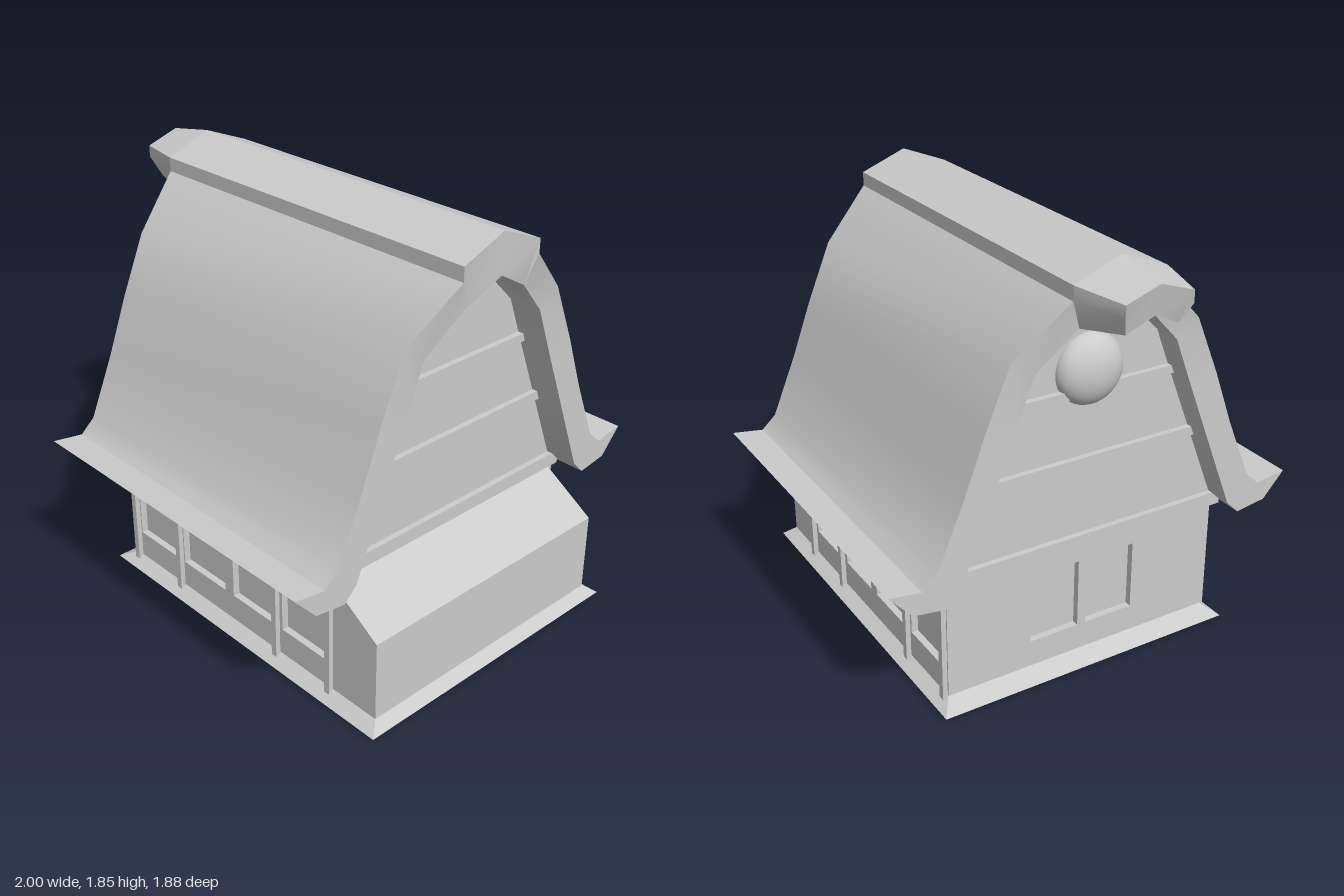
import * as THREE from 'three';
import { toCreasedNormals } from 'three/addons/utils/BufferGeometryUtils.js';

const solid = new THREE.MeshStandardMaterial({ color: 0xcccccc });
const thin = new THREE.MeshStandardMaterial({ color: 0xcccccc, side: THREE.DoubleSide });

const WALL_Z = 0.635, BACK_X = -0.58, GABLE_X = 0.705, LEAN_X = 0.955;
const BASE_Y = 0.05, EAVE_Y = 0.56, SILL_Y = 0.17, HEAD_Y = 0.48;

function add(parent, name, geometry, material = solid, position = [0, 0, 0]) {
  const mesh = new THREE.Mesh(geometry, material);
  mesh.name = name;
  mesh.position.set(...position);
  parent.add(mesh);
  return mesh;
}

// Box given by its min and max corners
function addBox(parent, name, [x0, y0, z0], [x1, y1, z1]) {
  return add(parent, name, new THREE.BoxGeometry(x1 - x0, y1 - y0, z1 - z0), solid,
    [(x0 + x1) / 2, (y0 + y1) / 2, (z0 + z1) / 2]);
}

function quadGeometry(quads, crease = 0.5) {
  const pos = [];
  for (const [a, b, c, d] of quads) pos.push(...a, ...b, ...c, ...a, ...c, ...d);
  const g = new THREE.BufferGeometry();
  g.setAttribute('position', new THREE.Float32BufferAttribute(pos, 3));
  g.computeVertexNormals();
  return toCreasedNormals(g, crease);
}

// Mirror a half section of outer/inner pairs across z = 0 and close it to a ring
function ring(pairs) {
  const flip = ([x, y, z]) => [x, y, -z];
  const side = k => [...pairs.map(p => p[k]).reverse(), ...pairs.slice(1).map(p => flip(p[k]))];
  return [...side(0), ...side(1).reverse()];
}

// Solid between two rings, with both ends capped
function loft(a, b) {
  const n = a.length, quads = [];
  for (let i = 0; i < n; i++) {
    const j = (i + 1) % n;
    quads.push([a[i], b[i], b[j], a[j]]);
  }
  for (let i = 0; i < n / 2 - 1; i++) {
    quads.push([a[i], a[i + 1], a[n - 2 - i], a[n - 1 - i]]);
    quads.push([b[n - 1 - i], b[n - 2 - i], b[i + 1], b[i]]);
  }
  return quadGeometry(quads);
}

// Half roof section: [outer z, y, flare, inner z, y, flare]
const ROOF = [
  [0, 1.85, 0.065, 0, 1.68, 0.065],
  [0.205, 1.77, 0.065, 0.16, 1.59, 0.04],
  [0.205, 1.71, 0.065, 0.16, 1.59, 0.04],
  [0.42, 1.5, 0, 0.32, 1.43, 0],
  [0.53, 1.24, 0, 0.405, 1.21, 0],
  [0.62, 1.0, 0, 0.505, 0.96, 0],
  [0.735, 0.73, 0, 0.64, 0.62, 0],
  [0.8, 0.67, 0, 0.7, 0.56, 0],
  [0.94, 0.69, 0, 0.84, 0.58, 0],
];

function buildRoof(root) {
  const roof = new THREE.Group();
  roof.name = 'roof';
  const section = (x, dir) => ROOF.map(([oz, oy, of, iz, iy, inf]) =>
    [[x + dir * of, oy, oz], [x + dir * inf, iy, iz]]);
  const left = section(-0.705, -1), right = section(0.85, 1);
  add(roof, 'thatchShell', loft(ring(left), ring(right)));
  // Ridge end tapering out past the back gable
  const tip = [
    [[-1, 1.81, 0], [-0.98, 1.69, 0]],
    [[-1, 1.76, 0.147], [-0.96, 1.63, 0.115]],
    [[-1, 1.71, 0.147], [-0.96, 1.63, 0.115]],
  ];
  add(roof, 'ridgeBeak', loft(ring(tip), ring(left.slice(0, 3))));
  root.add(roof);
}

function rectPath(u0, v0, u1, v1) {
  return new THREE.Path([[u0, v0], [u0, v1], [u1, v1], [u1, v0]].map(p => new THREE.Vector2(...p)));
}

// Wall panel in its own xy plane, facing +z, with recessed windows
function buildWall(name, outline, windows) {
  const wall = new THREE.Group();
  wall.name = name;
  const shape = new THREE.Shape(outline.map(p => new THREE.Vector2(...p)));
  for (const [u0, u1] of windows) {
    shape.holes.push(rectPath(u0, SILL_Y, u1, HEAD_Y));
    const depth = 0.03;
    const recess = new THREE.BoxGeometry(u1 - u0, HEAD_Y - SILL_Y, depth);
    const index = Array.from(recess.index.array);
    index.splice(24, 6); // open front
    recess.setIndex(index);
    add(wall, 'windowRecess', recess, thin, [(u0 + u1) / 2, (SILL_Y + HEAD_Y) / 2, -depth / 2]);
  }
  add(wall, 'panel', new THREE.ShapeGeometry(shape), thin);
  return wall;
}

function buildWalls(root) {
  const sideWindows = [[-0.54, -0.27], [-0.225, 0.055], [0.11, 0.355], [0.42, 0.675]];
  const outline = [[BACK_X, BASE_Y], [LEAN_X, BASE_Y], [LEAN_X, 0.4], [GABLE_X, EAVE_Y], [BACK_X, EAVE_Y]];
  const front = buildWall('frontWall', outline, sideWindows);
  front.position.z = WALL_Z;
  const rear = buildWall('rearWall', outline.map(([x, y]) => [-x, y]).reverse(),
    sideWindows.map(([a, b]) => [-b, -a]));
  rear.rotation.y = Math.PI;
  rear.position.z = -WALL_Z;
  const end = buildWall('endWall',
    [[-WALL_Z, BASE_Y], [WALL_Z, BASE_Y], [WALL_Z, EAVE_Y], [-WALL_Z, EAVE_Y]],
    [[-0.25, -0.02], [0.02, 0.25]]);
  end.rotation.y = -Math.PI / 2;
  end.position.x = BACK_X;
  root.add(front, rear, end);

  // Lean-to end wall and its sloping top
  const row = (x, y) => [[x, y, WALL_Z], [x, y, -WALL_Z]];
  const [b, m, t] = [row(LEAN_X, BASE_Y), row(LEAN_X, 0.4), row(GABLE_X, EAVE_Y)];
  add(root, 'leanTo', quadGeometry([[b[0], b[1], m[1], m[0]], [m[0], m[1], t[1], t[0]]], 0.1), thin);

  // Flared skirt around the foot of the walls
  const corners = (x0, x1, y, z) => [[x0, y, z], [x1, y, z], [x1, y, -z], [x0, y, -z]];
  const low = corners(-0.66, 1, 0.01, 0.69), top = corners(BACK_X, LEAN_X, BASE_Y, WALL_Z);
  add(root, 'baseSkirt', quadGeometry(low.map((p, i) => {
    const j = (i + 1) % 4;
    return [p, low[j], top[j], top[i]];
  })), thin);

  // Timber posts on both long walls
  for (const s of [-1, 1])
    for (const x of [-0.56, -0.245, 0.39, 0.705])
      addBox(root, 'post', [x - 0.014, 0, s * 0.637 - 0.02], [x + 0.014, EAVE_Y, s * 0.637 + 0.02]);
}

function buildGables(root) {
  const half = ROOF.slice(0, 7).filter((_, i) => i !== 1).map(r => [r[3], r[4]]);
  const pts = [...half.map(([z, y]) => [-z, y]), ...half.slice(1).reverse()];
  const shape = new THREE.Shape(pts.map(p => new THREE.Vector2(...p)));
  for (const [x, s] of [[GABLE_X, 1], [BACK_X, -1]]) {
    const gable = add(root, 'gableWall', new THREE.ShapeGeometry(shape), thin, [x, 0, 0]);
    gable.rotation.y = s * Math.PI / 2;
    // Horizontal rails across the gable
    for (const [y0, y1, w] of [[0.93, 0.97, 0.52], [1.235, 1.27, 0.4]])
      addBox(root, 'gableRail', [x - 0.025, y0, -w], [x + 0.025, y1, w]);
  }
  addBox(root, 'atticFloor', [BACK_X - 0.025, EAVE_Y, -0.68], [GABLE_X + 0.025, 0.62, 0.68]);
  // Domed boss under the ridge beak
  const boss = add(root, 'gableBoss', new THREE.SphereGeometry(0.15, 24, 16), solid, [BACK_X, 1.34, 0]);
  boss.scale.x = 0.6;
}

export function createModel() {
  const root = new THREE.Group();
  root.name = 'cottage';
  buildRoof(root);
  buildWalls(root);
  buildGables(root);
  return root;
}
